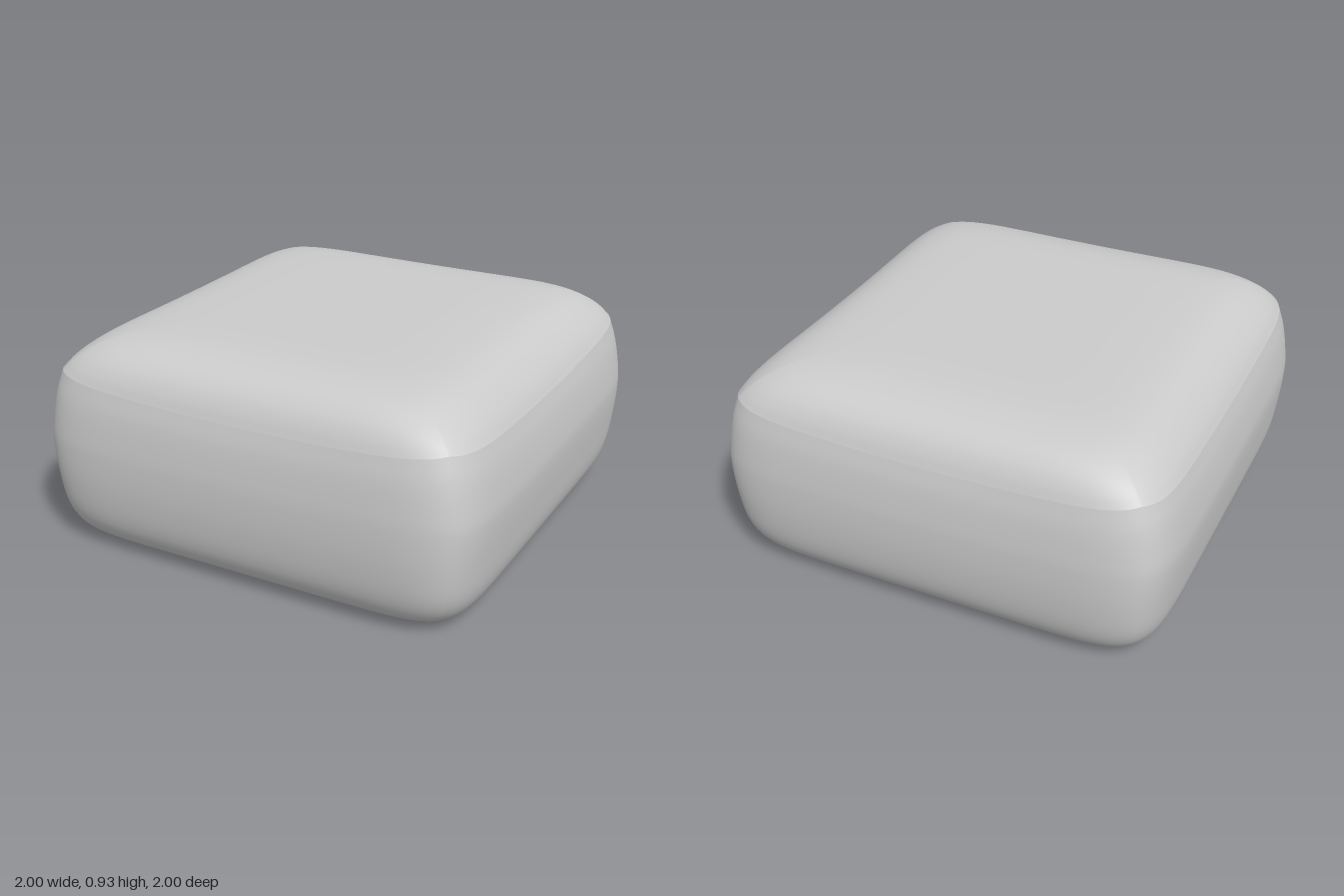
import * as THREE from 'three';
import { mergeVertices } from 'three/addons/utils/BufferGeometryUtils.js';

const HEIGHT = 0.93, SEAM = 0.725, RISE = 0.045;

// Profiles as (half width x, height y, half depth z), from top to bottom
const CAP = [
  [0, 0.93, 0], [0.25, 0.93, 0.3], [0.5, 0.928, 0.6], [0.7, 0.913, 0.74],
  [0.8, 0.88, 0.84], [0.87, 0.83, 0.9], [0.92, 0.775, 0.935], [0.95, SEAM, 0.955],
];
const WALL = [
  [0.95, SEAM, 0.955], [0.975, 0.64, 0.978], [0.995, 0.52, 0.995], [1, 0.45, 1],
  [0.988, 0.3, 0.997], [0.965, 0.15, 0.972], [0.925, 0.065, 0.925],
  [0.865, 0.018, 0.845], [0.75, 0, 0.7], [0.4, 0, 0.4], [0, 0, 0],
];

const toCurve = (rows) => new THREE.CatmullRomCurve3(rows.map((r) => new THREE.Vector3(...r)));

// One quarter of the cushion: rounded-square sections swept down a profile
function quarter(rows, turn, roundness, rise, positions, indices) {
  const curve = toCurve(rows), R = 40, C = 32;
  const start = positions.length / 3;
  for (let i = 0; i <= R; i++) {
    const t = i / R, p = curve.getPoint(t), n = roundness(t);
    for (let j = 0; j <= C; j++) {
      const s = Math.sin((j / C - 0.5) * Math.PI);
      const k = Math.pow(Math.pow(Math.abs(s), n) + 1, -1 / n);
      let x = s * k, z = k;
      for (let q = 0; q < turn; q++) [x, z] = [z, -x];
      const y = THREE.MathUtils.clamp(p.y, 0, HEIGHT) + RISE * rise(p.y) * s * s;
      positions.push(x * p.x, y, z * p.z);
    }
  }
  for (let i = 0; i < R; i++) {
    for (let j = 0; j < C; j++) {
      const a = start + i * (C + 1) + j, b = a + C + 1;
      indices.push(a, b, b + 1, a, b + 1, a + 1);
    }
  }
}

function buildMesh(name, positions, indices, material) {
  let geometry = new THREE.BufferGeometry();
  geometry.setAttribute('position', new THREE.Float32BufferAttribute(positions, 3));
  geometry.setIndex(indices);
  geometry = mergeVertices(geometry, 1e-5);
  geometry.computeVertexNormals();
  const mesh = new THREE.Mesh(geometry, material);
  mesh.name = name;
  return mesh;
}

export function createModel() {
  const group = new THREE.Group();
  group.name = 'pouf';
  const material = new THREE.MeshStandardMaterial({ color: 0xcccccc });

  // Domed top cushion, joined to the walls by a seam that rises at the corners
  const positions = [], indices = [];
  for (let turn = 0; turn < 4; turn++) {
    quarter(CAP, turn, (t) => 5 + 4 * t,
      (y) => THREE.MathUtils.clamp((HEIGHT - y) / (HEIGHT - SEAM), 0, 1), positions, indices);
  }
  group.add(buildMesh('topCushion', positions, indices, material));

  // Four bulging side panels wrapping under the base, split at the corner seams
  ['frontPanel', 'leftPanel', 'backPanel', 'rightPanel'].forEach((name, turn) => {
    const pos = [], idx = [];
    quarter(WALL, turn, () => 9, (y) => Math.pow(Math.max(y, 0) / SEAM, 2), pos, idx);
    group.add(buildMesh(name, pos, idx, material));
  });
  return group;
}
